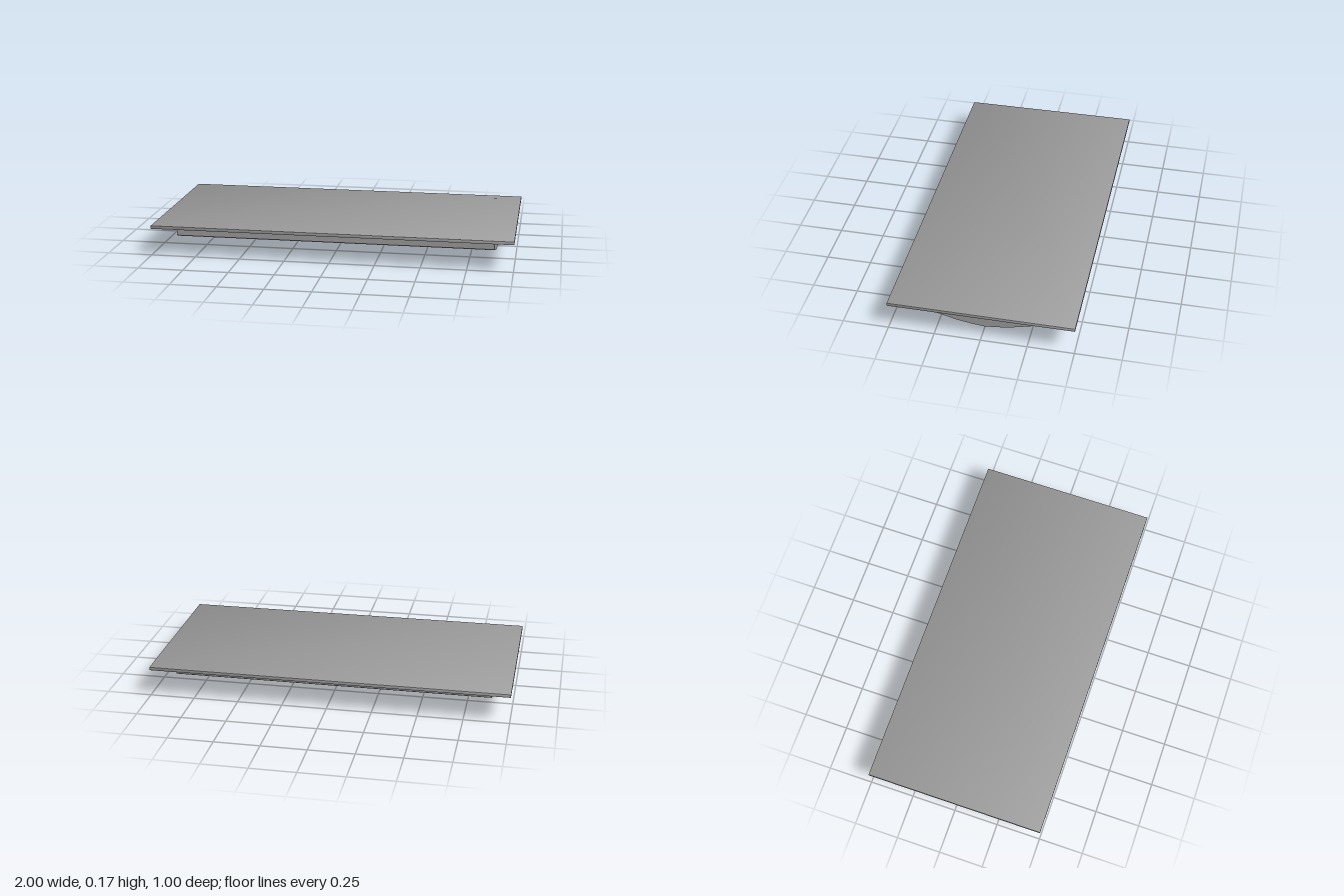
import * as THREE from 'three';
import { toCreasedNormals } from 'three/addons/utils/BufferGeometryUtils.js';

const frameMaterial = new THREE.MeshStandardMaterial({ color: 0x9c9c9c });
const panelMaterial = new THREE.MeshStandardMaterial({ color: 0xd8d8d8 });

const plateBottom = 0.151;
const plateThickness = 0.017;
const bodyEnd = 0.89;   // half length of the housing
const panelEnd = 0.8;   // half length of the recessed panel
const recess = 0.008;

// Half of the section as (z, y): outer wall, then the bowed underside to the centre line
const wall = [[0.365, plateBottom], [0.365, 0.082], [0.36, 0.078], [0.3, 0.06], [0.28, 0.055]];
const bow = [[0.28, 0.055], [0.213, 0.037], [0.147, 0.02], [0.07, 0.007], [0, 0]];

const mirror = (points) => points.map(([z, y]) => [-z, y]);
const bothHalves = (half) => [...mirror(half), ...half.slice(0, -1).reverse()];

// Extrude a closed section along x between x0 and x1
function extrudeAlongX(section, x0, x1) {
  const shape = new THREE.Shape(section.map(([z, y]) => new THREE.Vector2(-z, y)));
  const geometry = new THREE.ExtrudeGeometry(shape, { depth: x1 - x0, bevelEnabled: false });
  geometry.rotateY(Math.PI / 2).translate(x0, 0, 0);
  return toCreasedNormals(geometry, 0.75);
}

// Box whose normals lean outward at the corners, for softly shaded edges
function softBox(width, height, depth, lean) {
  const geometry = new THREE.BoxGeometry(width, height, depth);
  const { position, normal } = geometry.attributes;
  const n = new THREE.Vector3();
  const corner = new THREE.Vector3();
  for (let i = 0; i < position.count; i++) {
    n.fromBufferAttribute(normal, i);
    corner.fromBufferAttribute(position, i);
    corner.set(Math.sign(corner.x), Math.sign(corner.y), Math.sign(corner.z));
    n.lerp(corner, lean).normalize();
    normal.setXYZ(i, n.x, n.y, n.z);
  }
  return geometry;
}

export function createModel() {
  const group = new THREE.Group();
  const add = (name, geometry, material) => {
    const mesh = new THREE.Mesh(geometry, material);
    mesh.name = name;
    group.add(mesh);
  };

  // Thin mounting plate on top
  const plate = softBox(2, plateThickness, 1, 0.39);
  plate.translate(0, plateBottom + plateThickness / 2, 0);
  add('mountingPlate', plate, frameMaterial);

  // Solid housing ends with the full bowed section
  const full = bothHalves([...wall, ...bow.slice(1)]);
  add('leftHousingEnd', extrudeAlongX(full, panelEnd, bodyEnd), frameMaterial);
  add('rightHousingEnd', extrudeAlongX(full, -bodyEnd, -panelEnd), frameMaterial);

  // Rails along the front and back
  const rail = [...wall, [0.28, plateBottom]];
  add('frontRail', extrudeAlongX(rail, -panelEnd, panelEnd), frameMaterial);
  add('backRail', extrudeAlongX(mirror(rail), -panelEnd, panelEnd), frameMaterial);

  // Curved panel set slightly back between the rails
  const panel = bothHalves([[0.28, plateBottom], ...bow.map(([z, y]) => [z, y + recess])]);
  add('recessedPanel', extrudeAlongX(panel, -panelEnd, panelEnd), panelMaterial);

  return group;
}
